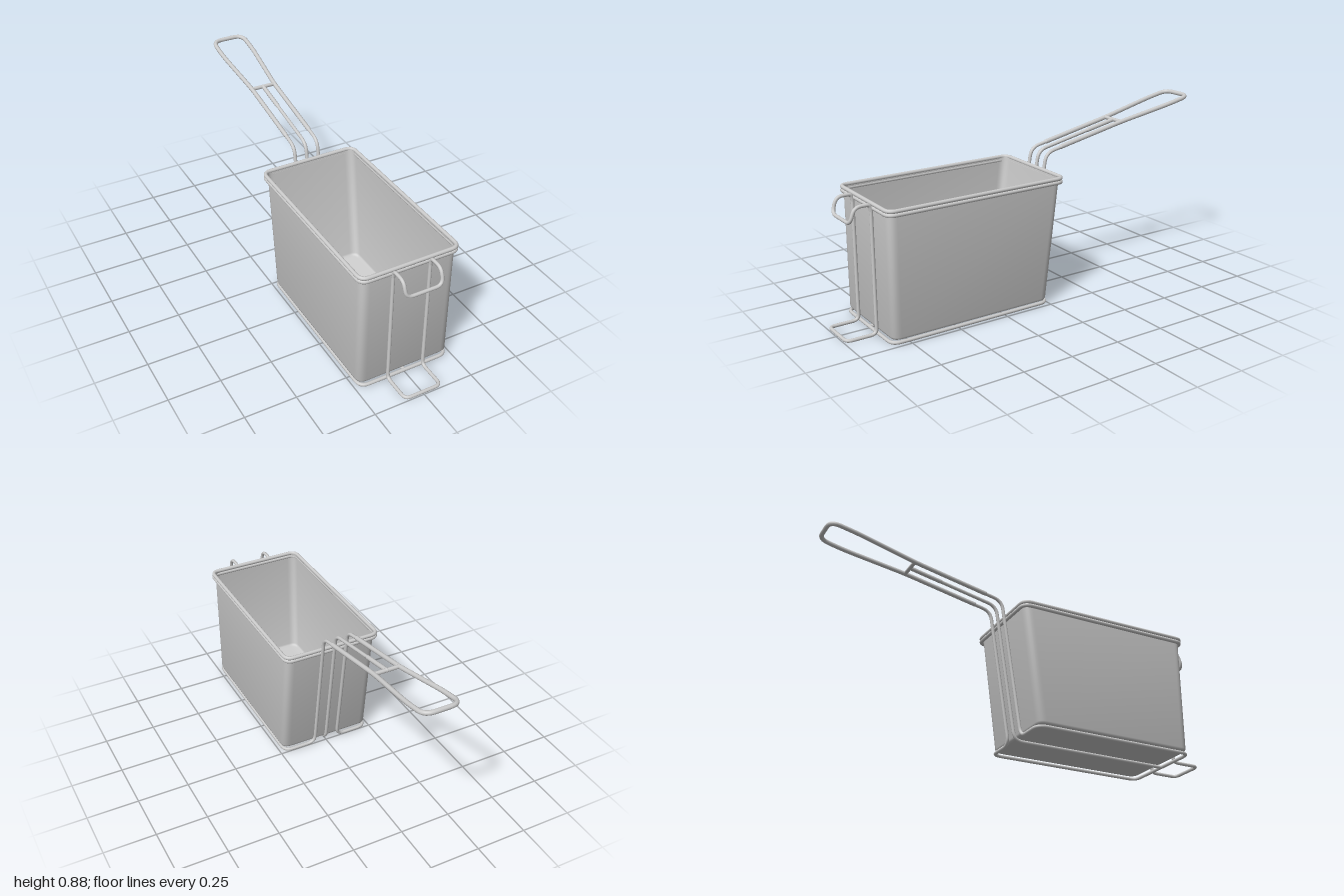
import * as THREE from 'three';
import { toCreasedNormals } from 'three/addons/utils/BufferGeometryUtils.js';

const steel = new THREE.MeshStandardMaterial({ color: 0xcccccc });
const sheet = new THREE.MeshStandardMaterial({ color: 0xcccccc, side: THREE.DoubleSide });
const V = (x, y, z) => new THREE.Vector3(x, y, z);

// Curve that steps exactly through a list of points
class PointPath extends THREE.Curve {
  constructor(points, closed) {
    super();
    this.points = points;
    this.closed = closed;
    this.count = closed ? points.length : points.length - 1;
  }
  at(i) {
    const n = this.points.length;
    return this.points[this.closed ? (i + n) % n : Math.min(Math.max(i, 0), n - 1)];
  }
  getPointAt(u, target = new THREE.Vector3()) {
    return target.copy(this.at(Math.round(u * this.count)));
  }
  getTangentAt(u, target = new THREE.Vector3()) {
    const i = Math.round(u * this.count);
    const a = this.at(i).clone().sub(this.at(i - 1)).normalize();
    const b = this.at(i + 1).clone().sub(this.at(i)).normalize();
    return target.copy(a.add(b)).normalize();
  }
}

// Replace each corner by a small bend
function roundCorners(corners, fillet, closed) {
  const n = corners.length, out = [];
  corners.forEach((p, i) => {
    if (!closed && (i === 0 || i === n - 1)) return out.push(p);
    const before = corners[(i + n - 1) % n], after = corners[(i + 1) % n];
    const d = Math.min(fillet, p.distanceTo(before) * 0.45, p.distanceTo(after) * 0.45);
    const start = p.clone().add(before.clone().sub(p).setLength(d));
    const end = p.clone().add(after.clone().sub(p).setLength(d));
    out.push(...new THREE.QuadraticBezierCurve3(start, p, end).getPoints(6));
  });
  return out;
}

// Bent round wire; open wires get rounded ends
function wire(name, corners, radius, fillet, closed = false) {
  const group = new THREE.Group();
  group.name = name;
  const path = new PointPath(roundCorners(corners, fillet, closed), closed);
  group.add(new THREE.Mesh(new THREE.TubeGeometry(path, path.count, radius, 10, closed), steel));
  if (!closed) for (const p of [corners[0], corners[corners.length - 1]]) {
    const end = new THREE.Mesh(new THREE.SphereGeometry(radius, 10, 8), steel);
    end.position.copy(p);
    group.add(end);
  }
  return group;
}

// Corners of a level rectangle
const rectangle = (x, y, back, front) => [V(-x, y, back), V(-x, y, front), V(x, y, front), V(x, y, back)];

// Right half of a path followed by its mirrored left half
const mirrored = (half) => [...half, ...half.map((p) => V(-p.x, p.y, p.z)).reverse()];

// Thin tub with a leaning back wall and rounded upright corners
function makeTub() {
  const levels = [
    [0.223, 0.022, 0.02, 0.818],
    [0.232, 0.026, 0.011, 0.828],
    [0.235, 0.036, 0.007, 0.832],
    [0.235, 0.618, -0.066, 0.832],
  ];
  const loops = levels.map((l) => roundCorners(rectangle(...l), 0.04, true));
  const n = loops[0].length, positions = [], index = [];
  for (const loop of loops) for (const p of loop) positions.push(p.x, p.y, p.z);
  for (let k = 0; k < loops.length - 1; k++) {
    for (let i = 0; i < n; i++) {
      const a = k * n + i, b = k * n + (i + 1) % n;
      index.push(a, b, b + n, a, b + n, a + n);
    }
  }
  for (let i = 1; i < n - 1; i++) index.push(0, i + 1, i);
  const geometry = new THREE.BufferGeometry();
  geometry.setAttribute('position', new THREE.Float32BufferAttribute(positions, 3));
  geometry.setIndex(index);
  const tub = new THREE.Mesh(toCreasedNormals(geometry, 0.9), sheet);
  tub.name = 'tub';
  return tub;
}

export function createModel() {
  const model = new THREE.Group();
  model.name = 'fryingBasket';
  model.add(makeTub());

  // Double rim
  for (const y of [0.601, 0.619]) {
    model.add(wire('rim', rectangle(0.242, y, -0.073, 0.836), 0.0095, 0.04, true));
  }

  // Height of the sloping handle at depth z
  const slope = (x, z) => V(x, 0.7 + 0.2 * (-0.12 - z), z);
  const grip = [slope(0.062, -0.56), slope(0.086, -0.86), slope(0.084, -0.989)];

  // One continuous wire: base frame, uprights and handle
  model.add(wire('baseAndHandleFrame', mirrored([
    V(0.228, 0.011, 0.836), V(0.228, 0.011, 0.003), V(0.062, 0.011, 0.003),
    V(0.062, 0.695, -0.1), ...grip,
  ]), 0.0085, 0.045, true));

  // Thicker grip over the outer wires, with a cross bar
  model.add(wire('grip', mirrored([slope(0.062, -0.19), ...grip]), 0.011, 0.05));
  model.add(wire('gripCrossBar', [slope(0.062, -0.56), slope(-0.062, -0.56)], 0.0095, 0));

  // Middle wire running under the floor and up into the handle
  model.add(wire('middleWire', [
    V(0, 0.011, 0.836), V(0, 0.011, 0.003), V(0, 0.695, -0.1), slope(0, -0.56),
  ], 0.0085, 0.045));
  model.add(wire('middleSleeve', [slope(0, -0.4), slope(0, -0.56)], 0.0105, 0));

  // Front wires: foot loop below and hanging hook above
  model.add(wire('footLoop', mirrored([
    V(0.092, 0.6, 0.844), V(0.092, 0.011, 0.844), V(0.092, 0.011, 0.991),
  ]), 0.0085, 0.03));
  model.add(wire('hangingHook', mirrored([
    V(0.092, 0.585, 0.844), V(0.092, 0.618, 0.85), V(0.092, 0.618, 0.922), V(0.09, 0.545, 0.944),
  ]), 0.0085, 0.035));

  return model;
}
